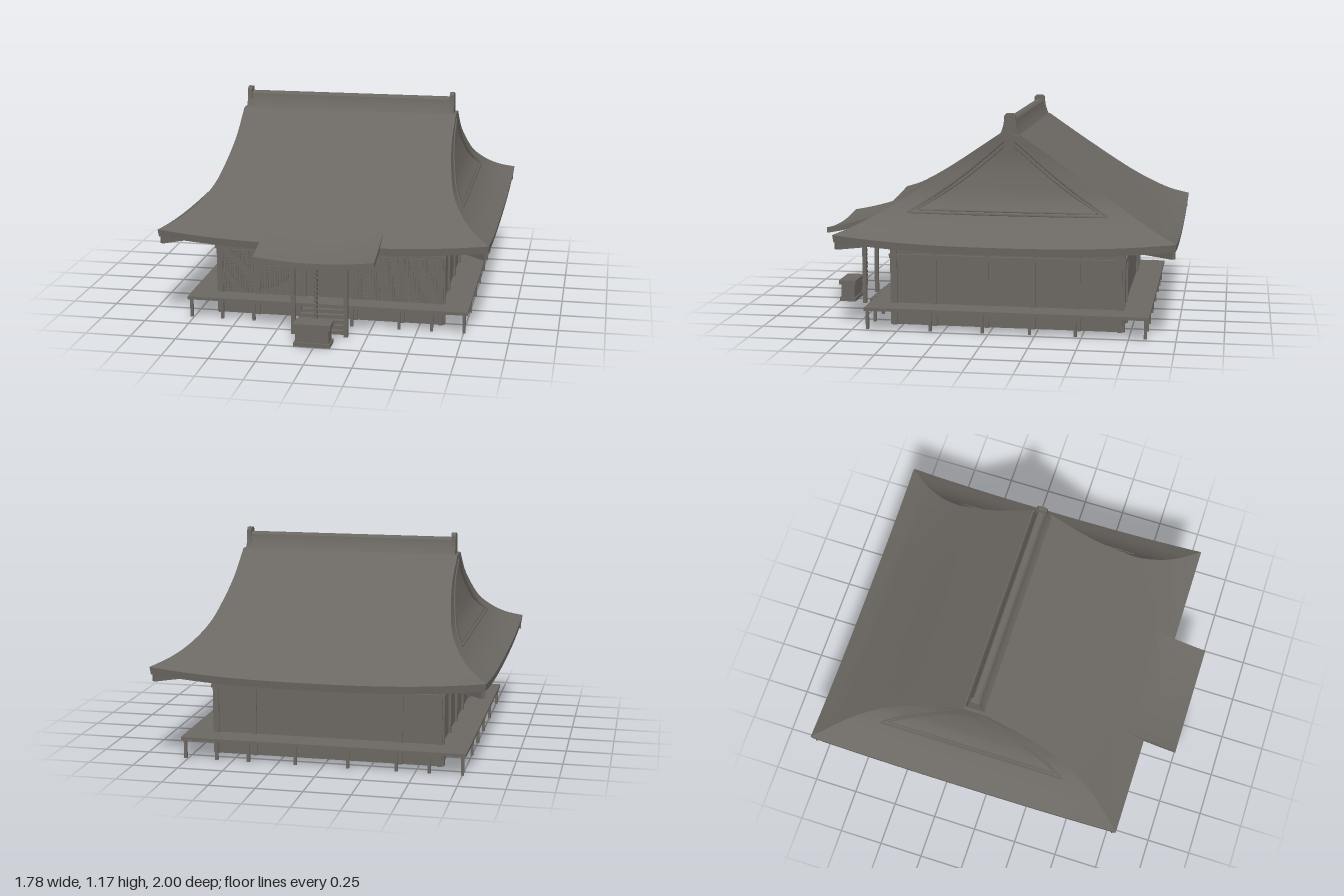
import * as THREE from 'three';

const grey = new THREE.MeshStandardMaterial({ color: 0x6b6762 });
grey.name = 'warm grey';
const greyOpen = grey.clone();
greyOpen.side = THREE.DoubleSide;
greyOpen.name = 'warm grey';

const CZ = -0.095; // centre line of the hall, under the ridge

export function createModel() {
  const root = new THREE.Group();
  root.name = 'templeHall';
  const add = (name, geo, parent = root, mat = grey) => {
    const m = new THREE.Mesh(geo, mat);
    m.name = name;
    parent.add(m);
    return m;
  };
  const group = (name, z = 0) => {
    const g = new THREE.Group();
    g.name = name;
    g.position.z = z;
    root.add(g);
    return g;
  };
  // box given by its minimum and maximum corners
  const box = (name, x0, x1, y0, y1, z0, z1, parent = root) => {
    const m = add(name, new THREE.BoxGeometry(x1 - x0, y1 - y0, z1 - z0), parent);
    m.position.set((x0 + x1) / 2, (y0 + y1) / 2, (z0 + z1) / 2);
    return m;
  };

  // ---- Roof: rings of half width X, height y, half depth D, with lifted corners
  const roof = group('roof', CZ);
  const rings = new THREE.CatmullRomCurve3([
    [0.615, 1.06, 0.06], [0.615, 0.93, 0.25], [0.633, 0.82, 0.41], [0.665, 0.715, 0.56],
    [0.73, 0.62, 0.7], [0.8, 0.555, 0.8], [0.89, 0.5, 0.905],
  ].map((p) => new THREE.Vector3(...p))).getPoints(30);
  const liftOf = (y) => 0.045 * Math.pow((1.06 - y) / 0.56, 4);
  const sides = [
    (r, t) => [t * r.x, r.y, r.z], (r, t) => [r.x, r.y, -t * r.z],
    (r, t) => [-t * r.x, r.y, -r.z], (r, t) => [-r.x, r.y, t * r.z],
  ];
  const band = (name, list, lifts) => sides.forEach((side) => {
    const n = 24, pos = [], idx = [];
    list.forEach((r, i) => {
      for (let j = 0; j <= n; j++) {
        const t = (j / n) * 2 - 1, p = side(r, t);
        p[1] += lifts[i] * Math.pow(Math.abs(t), 2.5);
        pos.push(...p);
        if (i < list.length - 1 && j < n) {
          const a = i * (n + 1) + j, b = a + n + 1;
          idx.push(a, b, b + 1, a, b + 1, a + 1);
        }
      }
    });
    const g = new THREE.BufferGeometry();
    g.setAttribute('position', new THREE.Float32BufferAttribute(pos, 3));
    g.setIndex(idx);
    g.computeVertexNormals();
    add(name, g, roof, greyOpen);
  });
  const V = (x, y, z) => new THREE.Vector3(x, y, z);
  const eave = rings[rings.length - 1];
  band('roofSlope', rings, rings.map((r) => liftOf(r.y)));
  band('eaveFascia', [eave, V(0.885, 0.46, 0.9)], [0.045, 0.045]);
  band('eaveSoffit', [V(0.885, 0.46, 0.9), V(0.63, 0.475, 0.63)], [0.045, 0]);

  // hip rafters under the four corners
  for (const sx of [-1, 1]) for (const sz of [-1, 1]) {
    const a = V(sx * 0.62, 0.475, sz * 0.63), b = V(sx * 0.875, 0.488, sz * 0.89);
    const m = add('hipRafter', new THREE.BoxGeometry(0.025, 0.045, a.distanceTo(b)), roof);
    m.position.copy(a).add(b).multiplyScalar(0.5);
    m.lookAt(V(b.x, b.y, b.z + CZ));
  }

  // ridge with taller end blocks
  const ridge = (name, x0, x1, top, w) => {
    const s = new THREE.Shape();
    s.moveTo(-0.062, 1.05);
    s.lineTo(0.062, 1.05);
    s.quadraticCurveTo(0.032, 1.09, w, top - 0.012);
    s.lineTo(w * 0.6, top);
    s.lineTo(-w * 0.6, top);
    s.lineTo(-w, top - 0.012);
    s.quadraticCurveTo(-0.032, 1.09, -0.062, 1.05);
    const g = new THREE.ExtrudeGeometry(s, { depth: x1 - x0, bevelEnabled: false, curveSegments: 8 });
    g.rotateY(Math.PI / 2).translate(x0, 0, 0);
    add(name, g, roof);
  };
  ridge('ridge', -0.585, 0.585, 1.15, 0.023);
  ridge('ridgeEnd', 0.575, 0.6, 1.175, 0.03);
  ridge('ridgeEnd', -0.6, -0.575, 1.175, 0.03);
  box('ridgeBase', -0.615, 0.615, 1.045, 1.06, -0.06, 0.06, roof);

  // triangular gable mouldings lying on the curved side slopes
  const sideX = (y) => {
    const i = Math.max(1, rings.findIndex((r) => r.y <= y));
    const a = rings[i - 1], b = rings[i];
    return a.x + ((b.x - a.x) * (a.y - y)) / (a.y - b.y);
  };
  const moulding = (sx, half, y0, y1, r) => {
    const line = (za, ya, zb, yb) => {
      const pts = [];
      for (let i = 0; i <= 12; i++) {
        const t = i / 12, y = ya + (yb - ya) * t;
        // the slanting sides sag a little like the roof
        const sag = ya === yb ? 0 : 0.02 * Math.sin(Math.PI * t);
        pts.push(V(sx * (sideX(y - sag) + 0.002), y - sag, za + (zb - za) * t));
      }
      add('gableMoulding', new THREE.TubeGeometry(new THREE.CatmullRomCurve3(pts), 24, r, 4), roof);
    };
    line(-half, y0, half, y0);
    line(-half, y0, -0.03, y1);
    line(half, y0, 0.03, y1);
  };
  for (const sx of [-1, 1]) {
    moulding(sx, 0.535, 0.645, 1.03, 0.007);
    moulding(sx, 0.49, 0.66, 1.0, 0.005);
  }

  // ---- Porch roof, curving out of the front slope
  const porch = new THREE.BoxGeometry(0.64, 0.032, 0.3, 20, 1, 10);
  const pp = porch.attributes.position;
  for (let i = 0; i < pp.count; i++) {
    const x = pp.getX(i), s = (0.15 - pp.getZ(i)) / 0.3;
    pp.setY(i, pp.getY(i) + 0.444 + 0.05 * s + 0.03 * s * s + 0.022 * Math.pow(x / 0.32, 2));
  }
  porch.computeVertexNormals();
  add('porchRoof', porch).position.z = 0.85;
  for (const x of [-0.143, 0.143]) box('porchColumn', x - 0.011, x + 0.011, 0.01, 0.47, 0.819, 0.841);

  // ---- Hall body with columns and beams
  const zf = 0.55, zb = -0.71, xw = 0.625;
  const hall = group('hall');
  box('walls', -xw, xw, 0.01, 0.48, zb, zf, hall);
  const columnZ = [0.535, 0.315, 0.03, -0.225, -0.47, -0.695];
  for (const x of [-0.615, -0.403, -0.143, 0.143, 0.403, 0.615]) {
    box('frontColumn', x - 0.013, x + 0.013, 0.01, 0.47, zf, zf + 0.011, hall);
    if (Math.abs(x) > 0.2) box('backColumn', x - 0.013, x + 0.013, 0.01, 0.47, zb - 0.011, zb, hall);
  }
  for (const sx of [-1, 1]) {
    for (const z of columnZ)
      box('sideColumn', sx * 0.63 - 0.008, sx * 0.63 + 0.008, 0.01, 0.47, z - 0.013, z + 0.013, hall);
    for (const y of [0.38, 0.45]) {
      box('sideBeam', sx * 0.631 - 0.01, sx * 0.631 + 0.01, y, y + 0.022, zb - 0.015, zf + 0.015, hall);
      const a = sx * 0.391;
      box('frontBeam', a - 0.249, a + 0.249, y, y + 0.022, zf, zf + 0.015, hall);
    }
    // lattice shutters
    for (const [x0, x1] of [[0.16, 0.388], [0.418, 0.6]]) {
      const panel = new THREE.Group();
      panel.name = 'latticeShutter';
      hall.add(panel);
      const bar = (a, b, y0, y1, d) =>
        box('latticeBar', Math.min(sx * a, sx * b), Math.max(sx * a, sx * b), y0, y1, zf, zf + d, panel);
      const nx = Math.round((x1 - x0) / 0.0145);
      for (let i = 0; i <= nx; i++) {
        const x = x0 + ((x1 - x0) * i) / nx;
        bar(x - 0.003, x + 0.003, 0.13, 0.375, 0.007);
      }
      for (let j = 0; j <= 17; j++) {
        const y = 0.132 + (0.24 * j) / 17;
        bar(x0, x1, y - 0.003, y + 0.003, 0.006);
      }
    }
  }
  for (const y of [0.38, 0.45]) box('backBeam', -0.64, 0.64, y, y + 0.022, zb - 0.015, zb, hall);

  // ---- Veranda on short posts
  const deck = group('veranda');
  box('verandaDeck', -0.775, 0.775, 0.113, 0.13, -0.86, 0.675, deck);
  const post = (x, z) => box('verandaPost', x - 0.008, x + 0.008, 0.01, 0.115, z - 0.008, z + 0.008, deck);
  for (const x of [-0.755, -0.58, -0.403, -0.143, 0.143, 0.403, 0.58, 0.755]) {
    post(x, 0.66);
    post(x, -0.84);
  }
  for (const z of columnZ.slice(1, 5)) for (const x of [-0.755, 0.755]) post(x, z);

  // ---- Front steps with a sloping underside
  const stair = new THREE.Shape();
  stair.moveTo(0.675, 0.075);
  stair.lineTo(0.745, 0.01);
  stair.lineTo(0.805, 0.01);
  for (let i = 0; i < 5; i++) {
    stair.lineTo(0.805 - i * 0.026, 0.03 + i * 0.02);
    stair.lineTo(0.779 - i * 0.026, 0.03 + i * 0.02);
  }
  const stairGeo = new THREE.ExtrudeGeometry(stair, { depth: 0.25, bevelEnabled: false });
  stairGeo.rotateY(-Math.PI / 2).translate(0.125, 0, 0);
  add('frontSteps', stairGeo);

  // ---- Offering box
  const chest = group('offeringBox');
  box('chestBody', -0.1, 0.08, 0.008, 0.115, 0.91, 0.99, chest);
  box('chestFoot', -0.108, 0.088, 0, 0.022, 0.902, 0.998, chest);
  box('chestRim', -0.11, 0.09, 0.1, 0.125, 0.9, 1.0, chest);

  // ---- Twisted bell rope and bell
  for (const phase of [0, Math.PI]) {
    const pts = [];
    for (let i = 0; i <= 80; i++) {
      const a = phase + i * 0.55;
      pts.push(V(-0.012 + 0.005 * Math.cos(a), 0.08 + i * 0.0044, 0.862 + 0.005 * Math.sin(a)));
    }
    add('bellRope', new THREE.TubeGeometry(new THREE.CatmullRomCurve3(pts), 160, 0.006, 6));
  }
  add('bell', new THREE.SphereGeometry(0.021, 16, 12)).position.set(-0.042, 0.415, 0.868);
  return root;
}
